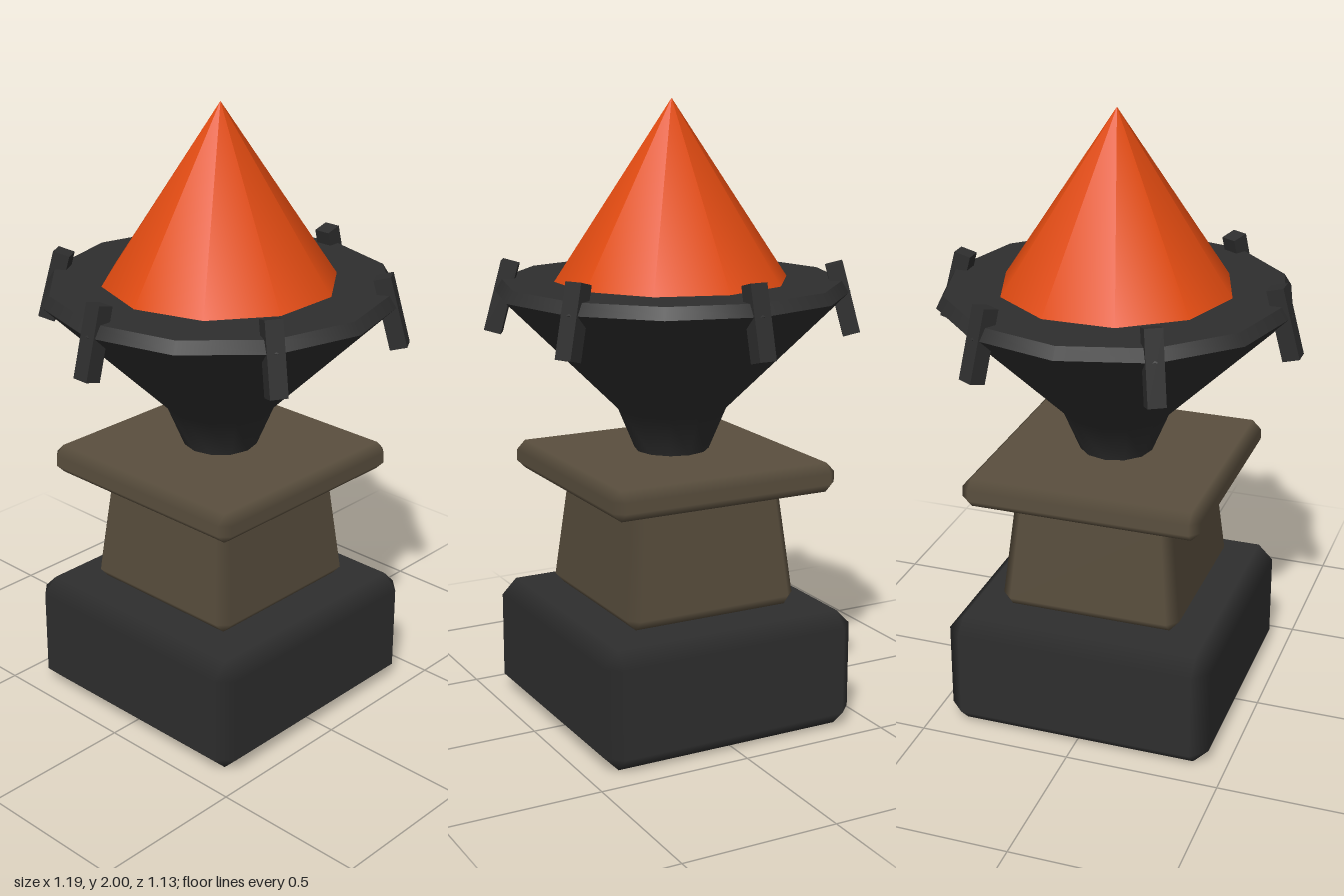
import * as THREE from 'three';
import { ConvexGeometry } from 'three/addons/geometries/ConvexGeometry.js';

const iron = new THREE.MeshStandardMaterial({ color: 0x2e2e2e });
iron.name = 'dark iron';
const stone = new THREE.MeshStandardMaterial({ color: 0x5a4f3e });
stone.name = 'brown stone';
const fire = new THREE.MeshStandardMaterial({ color: 0xe04a10 });
fire.name = 'orange flame';

// Box with single chamfers; flat faces, softly shaded bevels, optional taper towards the top
function chamferedBox(width, height, bevel, topScale = 1) {
  const half = [width / 2, height / 2, width / 2];
  const points = [];
  for (let axis = 0; axis < 3; axis++) {
    for (const sx of [-1, 1]) for (const sy of [-1, 1]) for (const sz of [-1, 1]) {
      const p = [sx, sy, sz].map((s, i) => s * (half[i] - (i === axis ? 0 : bevel)));
      points.push(new THREE.Vector3(...p));
    }
  }
  const geo = new ConvexGeometry(points);
  const pos = geo.attributes.position, normal = geo.attributes.normal;
  for (let i = 0; i < pos.count; i++) {
    const p = [pos.getX(i), pos.getY(i), pos.getZ(i)];
    // Each corner takes the normal of the main face it belongs to
    const n = p.map((v, a) => (Math.abs(v) > half[a] - bevel / 2 ? Math.sign(v) : 0));
    normal.setXYZ(i, ...n);
    const k = THREE.MathUtils.lerp(1, topScale, p[1] / height + 0.5);
    pos.setXYZ(i, p[0] * k, p[1], p[2] * k);
  }
  return geo;
}

export function createModel() {
  const model = new THREE.Group();
  model.name = 'brazier';

  function add(name, geometry, material, y = 0, parent = model) {
    const mesh = new THREE.Mesh(geometry, material);
    mesh.name = name;
    mesh.position.y = y;
    parent.add(mesh);
    return mesh;
  }

  // Pedestal
  add('base', chamferedBox(0.88, 0.385, 0.05), iron, 0.1975).position.y = 0.1975;
  add('pillar', chamferedBox(0.606, 0.385, 0.035, 0.86), stone, 0.5875);
  add('cap', chamferedBox(0.78, 0.095, 0.03), stone, 0.828);

  // Twelve-sided bowl
  const lathe = (...pts) =>
    new THREE.LatheGeometry(pts.map(([r, y]) => new THREE.Vector2(r, y)), 12);
  add('bowl', lathe([0.12, 0.888], [0.175, 1.02], [0.565, 1.4]), iron);
  add('bowlRim', lathe([0.565, 1.4], [0.542, 1.437]), iron);
  add('bowlTop', new THREE.CircleGeometry(0.542, 12).rotateX(-Math.PI / 2), iron, 1.437);
  add('bowlFoot', new THREE.CircleGeometry(0.12, 12).rotateX(Math.PI / 2), iron, 0.888);

  // Flame cone
  add('flame', new THREE.ConeGeometry(0.373, 0.563, 10, 1, false, Math.PI / 2), fire, 1.7185);

  // Six tilted prongs around the rim
  for (let i = 0; i < 6; i++) {
    const arm = new THREE.Group();
    arm.name = 'prong' + (i + 1);
    arm.rotation.y = (i * Math.PI) / 3;
    const bar = add('prongBar', new THREE.BoxGeometry(0.055, 0.23, 0.056), iron, 1.378, arm);
    bar.position.x = 0.54;
    bar.rotation.z = 0.26;
    model.add(arm);
  }
  return model;
}
